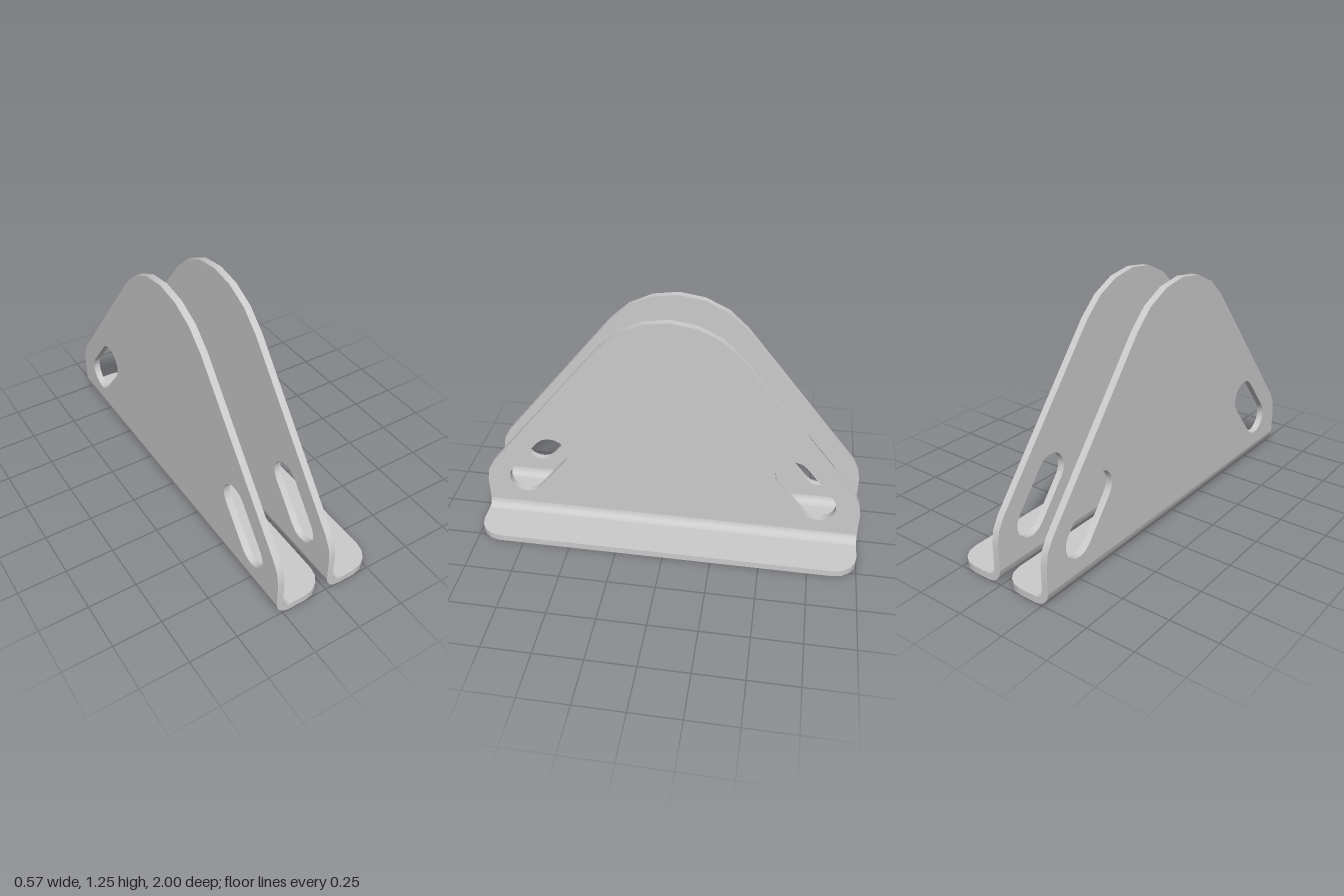
import * as THREE from 'three';
import { toCreasedNormals } from 'three/addons/utils/BufferGeometryUtils.js';

const T = 0.035;   // sheet thickness
const BEND = 0.075; // outer bend radius
const WIDTH = 0.285; // flange reach

// Points along an arc, from angle a to angle b, in n straight steps
function arc(cx, cy, r, a, b, n) {
  return Array.from({ length: n + 1 }, (_, i) => {
    const t = a + ((b - a) * i) / n;
    return new THREE.Vector2(cx + r * Math.cos(t), cy + r * Math.sin(t));
  });
}

const mirror = (pts) => pts.map((p) => new THREE.Vector2(-p.x, p.y)).reverse();

function extrude(shape, depth) {
  return new THREE.ExtrudeGeometry(shape, { depth, bevelEnabled: false });
}

// Rounded triangular web with two slanted slots
function webGeometry() {
  const slope = Math.atan2(1, 1.25); // direction of the normal of the slanted edge
  const half = [
    new THREE.Vector2(1, BEND),
    ...arc(0.8, 0.21, 0.2, 0, slope, 2),
    ...arc(0, 0.805, 0.45, slope, Math.PI / 2, 3),
  ];
  const shape = new THREE.Shape([...half, ...mirror(half).slice(1)]);
  const a = Math.atan2(0.185, -0.15);
  const slot = [
    ...arc(0.635, 0.425, 0.09, a - Math.PI / 2, a + Math.PI / 2, 8),
    ...arc(0.785, 0.24, 0.09, a + Math.PI / 2, a + Math.PI * 1.5, 8),
  ];
  shape.holes.push(new THREE.Path(slot), new THREE.Path(mirror(slot)));
  return extrude(shape, T).rotateY(-Math.PI / 2).translate(T, 0, 0);
}

// Quarter-round fold joining web and flange
function bendGeometry() {
  const shape = new THREE.Shape([
    ...arc(BEND, BEND, BEND, Math.PI, Math.PI * 1.5, 4),
    ...arc(BEND, BEND, BEND - T, Math.PI * 1.5, Math.PI, 4),
  ]);
  return extrude(shape, 2).translate(0, 0, -1);
}

// Flat foot with rounded outer corners
function flangeGeometry() {
  const r = 0.12;
  const shape = new THREE.Shape([
    new THREE.Vector2(BEND, -1),
    ...arc(WIDTH - r, -1 + r, r, -Math.PI / 2, 0, 4),
    ...arc(WIDTH - r, 1 - r, r, 0, Math.PI / 2, 4),
    new THREE.Vector2(BEND, 1),
  ]);
  return extrude(shape, T).rotateX(-Math.PI / 2);
}

export function createModel() {
  const model = new THREE.Group();
  model.name = 'bracketPair';
  const material = new THREE.MeshStandardMaterial({ color: 0xcccccc });
  const parts = { web: webGeometry(), bend: bendGeometry(), flange: flangeGeometry() };
  for (const key in parts) parts[key] = toCreasedNormals(parts[key], 0.6);

  // Two identical brackets side by side
  for (const [name, x] of [['rightBracket', -WIDTH - 0.002], ['leftBracket', 0]]) {
    const bracket = new THREE.Group();
    bracket.name = name;
    bracket.position.x = x;
    for (const [part, geometry] of Object.entries(parts)) {
      const mesh = new THREE.Mesh(geometry, material);
      mesh.name = part;
      bracket.add(mesh);
    }
    model.add(bracket);
  }
  return model;
}
